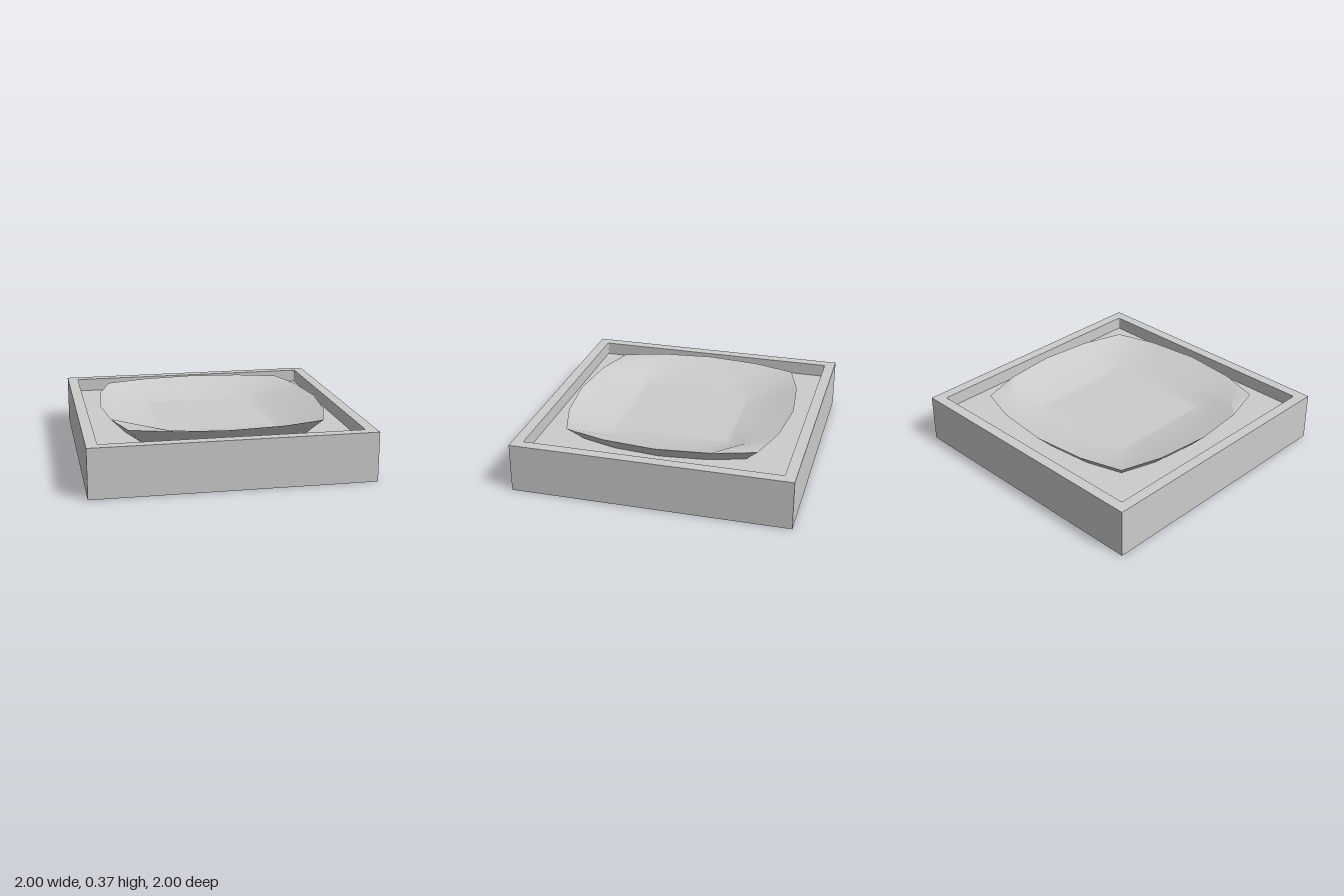
import * as THREE from 'three';

const material = new THREE.MeshStandardMaterial({ color: 0xcccccc });
const TOP = 0.356, FLOOR = 0.26, RIM = 0.372;

function part(name, geometry) {
  const mesh = new THREE.Mesh(geometry, material);
  mesh.name = name;
  return mesh;
}

// One side of four [x, z] points, turned four times into a closed ring at height y
function ring(side, y, scale = 1) {
  const points = [];
  for (let k = 0; k < 4; k++) {
    for (let [x, z] of side) {
      for (let t = 0; t < k; t++) [x, z] = [-z, x];
      points.push(new THREE.Vector3(x * scale, y, z * scale));
    }
  }
  return points;
}

// Skin over successive rings, optionally closed by a centre point
function loft(rings, centre) {
  const n = rings[0].length, index = [];
  const points = rings.flat();
  for (let i = 0; i < rings.length - 1; i++) {
    for (let j = 0; j < n; j++) {
      const a = i * n + j, b = i * n + (j + 1) % n;
      index.push(a, a + n, b, b, a + n, b + n);
    }
  }
  if (centre) {
    const base = (rings.length - 1) * n, c = points.length;
    points.push(centre);
    for (let j = 0; j < n; j++) index.push(base + j, c, base + (j + 1) % n);
  }
  const geometry = new THREE.BufferGeometry().setFromPoints(points);
  geometry.setIndex(index);
  geometry.computeVertexNormals();
  return geometry;
}

function squareShape(h) {
  return new THREE.Shape([[-h, -h], [h, -h], [h, h], [-h, h]].map(p => new THREE.Vector2(...p)));
}

// Square hole with tiny rounded corners
function roundedHole(h, r) {
  const path = new THREE.Path();
  for (let k = 0; k < 4; k++) {
    const sx = k === 0 || k === 3 ? 1 : -1, sy = k < 2 ? 1 : -1;
    path.absarc(sx * (h - r), sy * (h - r), r, k * Math.PI / 2, (k + 1) * Math.PI / 2, false);
  }
  path.closePath();
  return path;
}

export function createModel() {
  const model = new THREE.Group();

  // Solid base and raised border
  const base = new THREE.BoxGeometry(2, FLOOR, 2).translate(0, FLOOR / 2, 0);
  model.add(part('trayBase', base));
  const shape = squareShape(1);
  shape.holes.push(roundedHole(0.922, 0.01));
  const border = new THREE.ExtrudeGeometry(shape, { depth: TOP - FLOOR, bevelEnabled: false, curveSegments: 3 });
  border.rotateX(-Math.PI / 2).translate(0, FLOOR, 0);
  model.add(part('trayBorder', border));

  // Dish outer wall, flaring from the tray floor to the rim
  const rimSide = [[0.782, -0.39], [0.822, 0], [0.782, 0.39], [0.69, 0.69]];
  const flatSide = [[0.43, -0.215], [0.43, 0], [0.43, 0.215], [0.43, 0.43]];
  const rim = ring(rimSide, RIM);
  model.add(part('dishWall', loft([ring(rimSide, FLOOR - 0.005, 0.86), rim])));

  // Dish hollow: two opposite corners have a flat lip, the centre is a flat square
  const lip = ring(rimSide, RIM, 0.995);
  for (const j of [7, 15]) lip[j].set(Math.sign(lip[j].x) * 0.583, RIM, Math.sign(lip[j].z) * 0.583);
  const flat = ring(flatSide, 0.27);
  const slope = lip.map((p, j) => p.clone().lerp(flat[j], 0.5).setY(0.308));
  const inner = ring(flatSide, 0.268, 0.93);
  model.add(part('dishHollow', loft([rim, lip, slope, flat, inner], new THREE.Vector3(0, 0.268, 0))));

  return model;
}
